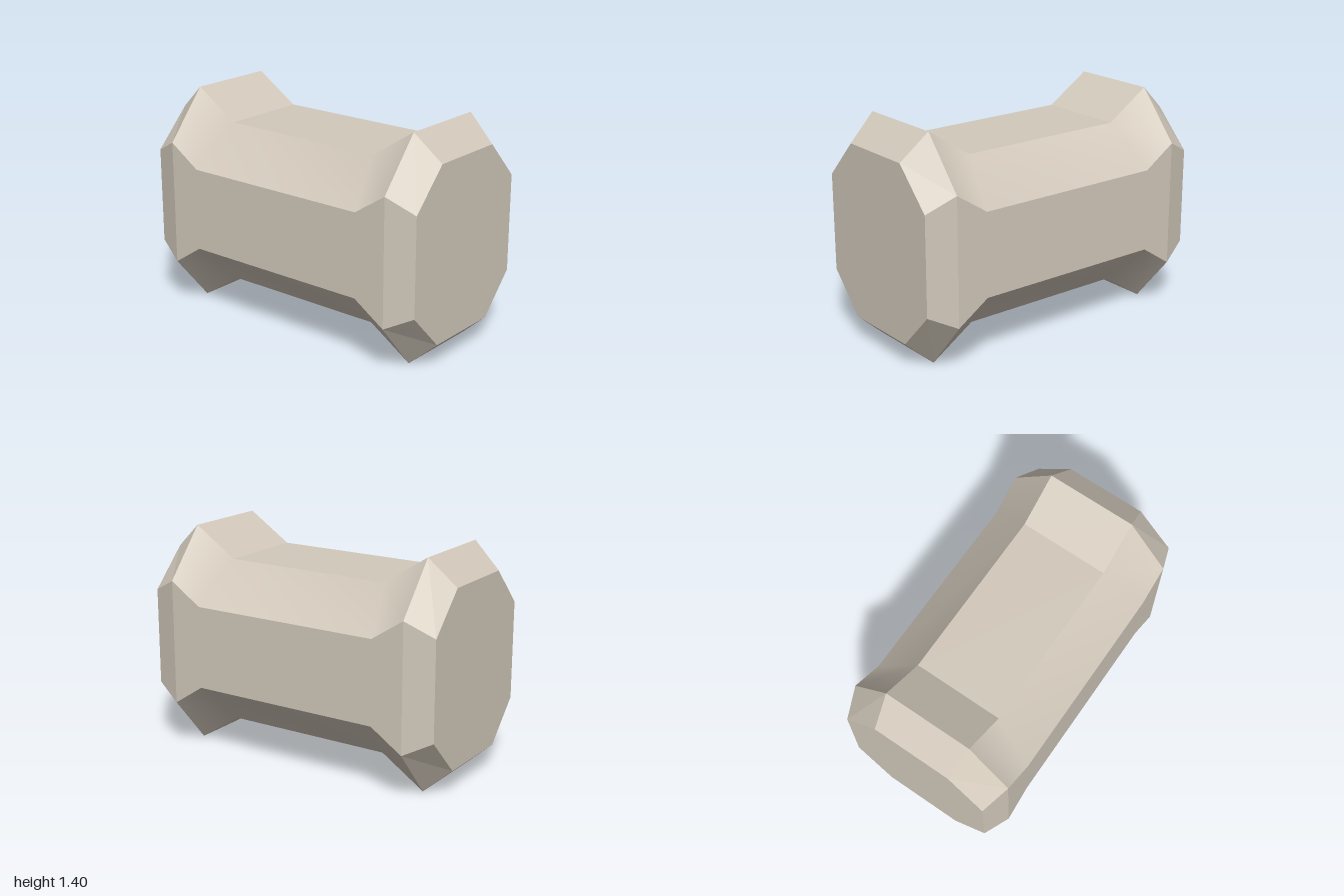
import * as THREE from 'three';

const CENTRE_Y = 0.7025;

// Octagonal stations: [flatX, flatHalfHeight, flatHalfZ, sideX, sideHalfHeight, sideHalfZ]
const half = [
  [0.545, 0.52, 0.283, 0.62, 0.26, 0.542],   // waist
  [0.825, 0.7025, 0.283, 0.825, 0.395, 0.542], // rim
  [1, 0.545, 0.252, 1, 0.305, 0.483],         // end
];
const mirrored = half.map(([fx, fh, fz, sx, sh, sz]) => [-fx, fh, fz, -sx, sh, sz]);
const stations = [...mirrored.reverse(), ...half];

// Eight corners of a station, running counter-clockwise seen from +x
function ring([fx, fh, fz, sx, sh, sz]) {
  return [
    [fx, fh, -fz], [fx, fh, fz], [sx, sh, sz], [sx, -sh, sz],
    [fx, -fh, fz], [fx, -fh, -fz], [sx, -sh, -sz], [sx, sh, -sz],
  ].map(([x, y, z]) => [x, y + CENTRE_Y, z]);
}

// One lengthwise strip between neighbouring corners, soft or faceted at its bends
function strip(rings, j, soft) {
  const points = rings.flatMap((r) => [r[j], r[(j + 1) % 8]]);
  const index = [];
  for (let i = 0; i < rings.length - 1; i++) {
    const a = 2 * i, d = a + 1, b = a + 2, c = a + 3;
    index.push(a, d, c, a, c, b);
  }
  return finish(points, index, soft);
}

function cap(points, flip) {
  const index = [];
  for (let k = 1; k < 7; k++) index.push(0, ...(flip ? [k + 1, k] : [k, k + 1]));
  return finish(points, index, false);
}

function finish(points, index, soft) {
  let geometry = new THREE.BufferGeometry();
  geometry.setAttribute('position', new THREE.Float32BufferAttribute(points.flat(), 3));
  geometry.setIndex(index);
  if (!soft) geometry = geometry.toNonIndexed();
  geometry.computeVertexNormals();
  return geometry;
}

export function createModel() {
  const group = new THREE.Group();
  group.name = 'waistedBlock';
  const stone = new THREE.MeshStandardMaterial({ color: 0xd2c9bb });
  stone.name = 'warm stone';
  const add = (name, geometry) => {
    const mesh = new THREE.Mesh(geometry, stone);
    mesh.name = name;
    group.add(mesh);
  };

  const rings = stations.map(ring);
  const names = ['top', 'upperFrontSlope', 'front', 'lowerFrontSlope',
    'bottom', 'lowerBackSlope', 'back', 'upperBackSlope'];
  names.forEach((name, j) => {
    // Body between the rims, then the bevel at each end
    add(name + 'Body', strip(rings.slice(1, 5), j, j % 2 === 1));
    add(name + 'RightBevel', strip(rings.slice(0, 2), j, false));
    add(name + 'LeftBevel', strip(rings.slice(4, 6), j, false));
  });

  // Flat octagonal ends
  add('rightEnd', cap(rings[0], true));
  add('leftEnd', cap(rings[5], false));
  return group;
}
